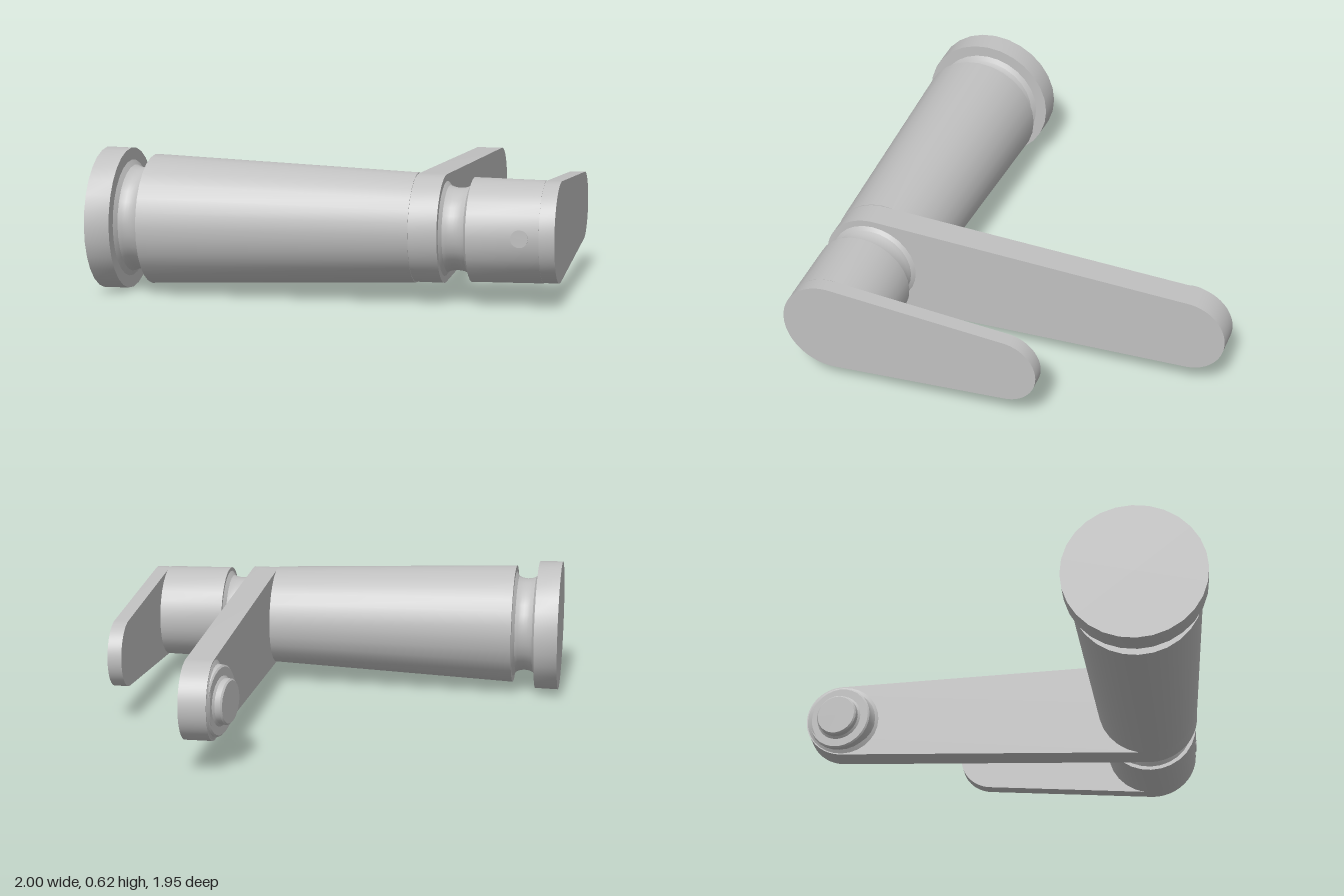
import * as THREE from 'three';
import { toCreasedNormals } from 'three/addons/utils/BufferGeometryUtils.js';

const SIDES = 28;
const AXIS_Y = 0.31;
const AXIS_Z = 0.667;

export function createModel() {
  const group = new THREE.Group();
  const metal = new THREE.MeshStandardMaterial({ color: 0xc0c0c0 });
  metal.name = 'grey metal';

  function add(name, geometry) {
    const mesh = new THREE.Mesh(toCreasedNormals(geometry, 0.5), metal);
    mesh.name = name;
    group.add(mesh);
    return mesh;
  }

  // Solid of revolution about the x axis; profile is [x, radius] with x rising
  function turned(name, profile) {
    const points = profile.map(([x, r]) => new THREE.Vector2(r, x));
    const geometry = new THREE.LatheGeometry(points, SIDES);
    geometry.rotateZ(-Math.PI / 2);
    const mesh = add(name, geometry);
    mesh.position.set(0, AXIS_Y, AXIS_Z);
    return mesh;
  }

  // Rounded neck between two steps
  function neck(name, x0, x1, edge, waist) {
    const profile = [];
    for (let i = 0; i <= 8; i++) {
      const t = i / 8;
      const s = Math.sqrt(Math.max(0, 1 - (2 * t - 1) ** 2));
      profile.push([x0 + (x1 - x0) * t, edge - (edge - waist) * s]);
    }
    turned(name, profile);
  }

  // Tapered arm: two round ends joined by tangent edges, reaching to -z
  function arm(name, x0, x1, bigR, smallR, length) {
    const a = Math.acos((bigR - smallR) / length);
    const shape = new THREE.Shape();
    shape.absarc(0, 0, bigR, a, 2 * Math.PI - a, false);
    shape.absarc(length, 0, smallR, -a, a, false);
    shape.closePath();
    const geometry = new THREE.ExtrudeGeometry(shape, {
      depth: x1 - x0, bevelEnabled: false, curveSegments: 18,
    });
    geometry.rotateY(Math.PI / 2);
    add(name, geometry).position.set(x0, AXIS_Y, AXIS_Z);
  }

  // Main shaft from the end flange to the short barrel
  turned('endFlange', [[-1, 0], [-1, 0.31], [-0.89, 0.308], [-0.89, 0]]);
  neck('rearNeck', -0.89, -0.78, 0.255, 0.222);
  turned('taperedBody', [[-0.78, 0], [-0.78, 0.283], [0.39, 0.235], [0.39, 0]]);
  neck('frontNeck', 0.51, 0.63, 0.205, 0.175);
  turned('frontBarrel', [[0.63, 0], [0.63, 0.222], [0.935, 0.217], [0.935, 0]]);

  // The two arms
  arm('longArm', 0.39, 0.512, 0.231, 0.177, 1.465);
  arm('shortArm', 0.935, 1, 0.215, 0.155, 0.802);

  // Flush pin in the barrel
  const pin = new THREE.CylinderGeometry(0.037, 0.037, 0.06, 20);
  pin.rotateX(Math.PI / 2);
  add('barrelPin', pin).position.set(0.855, AXIS_Y, 0.858);

  // Tilted stud at the end of the long arm, on its inner side
  const flare = turned('studBase', [[0.378, 0.15], [0.384, 0.161], [0.392, 0.176]]);
  flare.position.z = -0.798;
  const stud = new THREE.Group();
  stud.name = 'stud';
  stud.position.set(0.355, AXIS_Y, -0.812);
  stud.rotation.y = -0.2;
  group.add(stud);
  const boss = turned('studBoss', [[0, 0], [0, 0.148], [0.006, 0.155], [0.045, 0.157], [0.06, 0.163], [0.06, 0]]);
  const cap = turned('studCap', [[-0.04, 0], [-0.04, 0.093], [-0.033, 0.1], [-0.008, 0.1], [0, 0.11]]);
  for (const part of [boss, cap]) {
    part.position.set(0, 0, 0);
    stud.add(part);
  }

  return group;
}
